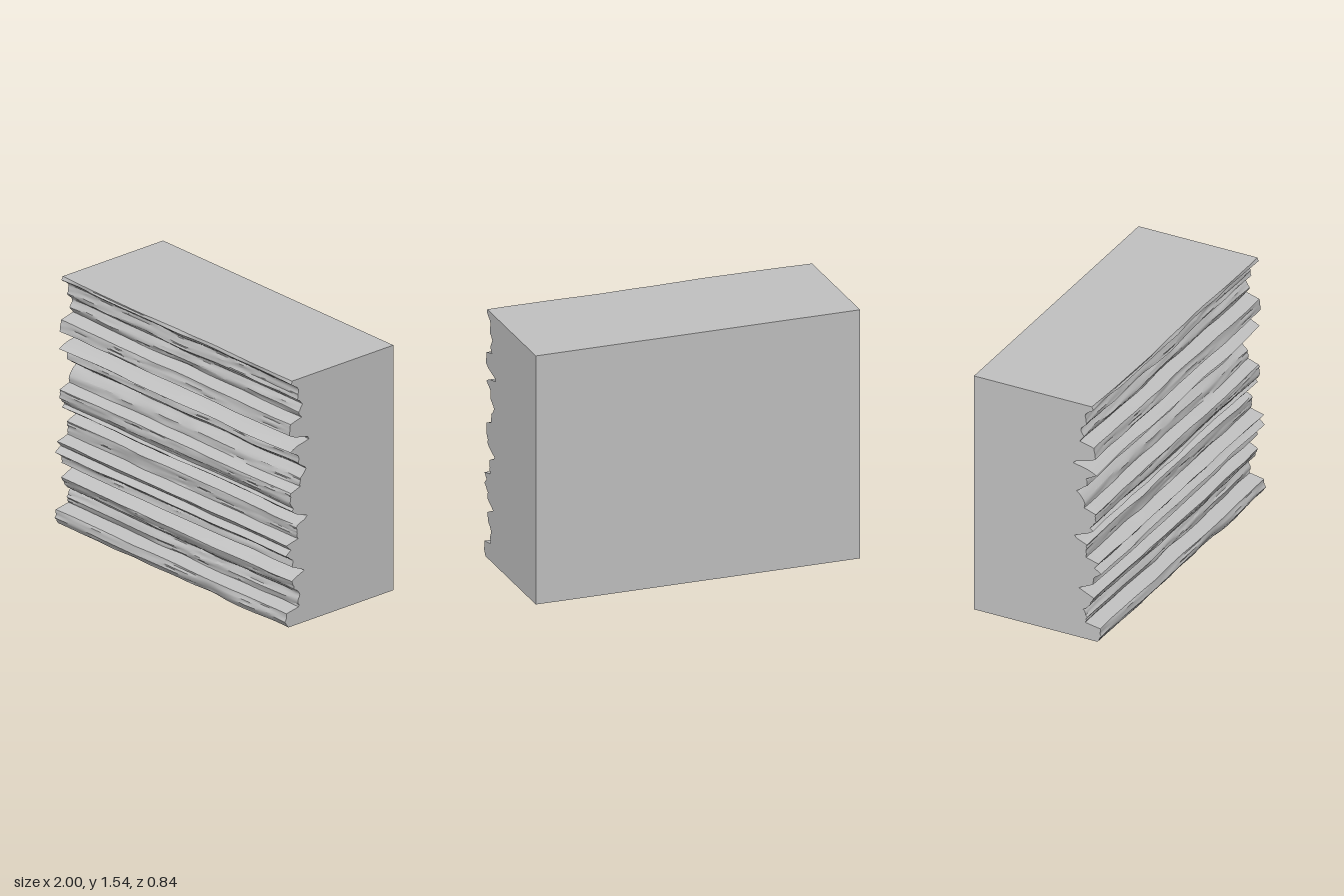
import * as THREE from 'three';
import { toCreasedNormals } from 'three/addons/utils/BufferGeometryUtils.js';

const BACK = -0.42;
const COLUMNS = 64;

// Layered cliff outline from bottom to top: [y, z]
const PROFILE = [
  [0, 0.395], [0.04, 0.42], [0.09, 0.41], [0.107, 0.315], [0.145, 0.325], [0.19, 0.305],
  [0.225, 0.345], [0.28, 0.37], [0.30, 0.33], [0.325, 0.27], [0.37, 0.365], [0.41, 0.36],
  [0.45, 0.41], [0.48, 0.37], [0.515, 0.40], [0.537, 0.315], [0.62, 0.32], [0.643, 0.265],
  [0.665, 0.24], [0.695, 0.325], [0.72, 0.36], [0.735, 0.345], [0.78, 0.375], [0.835, 0.375],
  [0.86, 0.305], [0.91, 0.30], [0.96, 0.255], [1.01, 0.32], [1.055, 0.315], [1.092, 0.38],
  [1.12, 0.325], [1.14, 0.23], [1.157, 0.245], [1.18, 0.34], [1.20, 0.38], [1.27, 0.37],
  [1.293, 0.285], [1.33, 0.305], [1.375, 0.285], [1.41, 0.325], [1.478, 0.315], [1.52, 0.365],
  [1.54, 0.36],
];

// Seeded lattice value in -1..1, and smooth noise between lattice points
function hash(i, j) {
  const s = Math.sin(i * 127.1 + j * 311.7 + 17.3) * 43758.5453;
  return (s - Math.floor(s)) * 2 - 1;
}
function noise(x, y) {
  const i = Math.floor(x), j = Math.floor(y);
  const u = THREE.MathUtils.smoothstep(x - i, 0, 1);
  const v = THREE.MathUtils.smoothstep(y - j, 0, 1);
  const a = THREE.MathUtils.lerp(hash(i, j), hash(i + 1, j), u);
  const b = THREE.MathUtils.lerp(hash(i, j + 1), hash(i + 1, j + 1), u);
  return THREE.MathUtils.lerp(a, b, v);
}

// Fine rows along the outline, steep ledges kept straight
function makeRows() {
  const rows = [];
  PROFILE.forEach(([y, z], k) => {
    rows.push([y, z]);
    if (k === PROFILE.length - 1) return;
    const [y2, z2] = PROFILE[k + 1];
    const steps = Math.max(1, Math.round((y2 - y) / 0.012));
    for (let s = 1; s < steps; s++) {
      const t = s / steps;
      rows.push([y + (y2 - y) * t, z + (z2 - z) * t]);
    }
  });
  return rows;
}

// Grid of rock face points: broad wander plus thin bedding streaks
function makeGrid() {
  return makeRows().map(([y, z], r) => {
    const line = [];
    for (let c = 0; c <= COLUMNS; c++) {
      const x = -1 + (2 * c) / COLUMNS;
      const wander = 0.009 * noise(x * 3.2 + 20, y * 7);
      const streak = 0.0045 * noise(x * 6 + 40, r * 1.0 + 100);
      line.push([x, y, z - 0.004 + wander + streak]);
    }
    return line;
  });
}

function quad(out, a, b, c, d) {
  out.push(...a, ...b, ...c, ...a, ...c, ...d);
}

function toGeometry(positions) {
  const geometry = new THREE.BufferGeometry();
  geometry.setAttribute('position', new THREE.Float32BufferAttribute(positions, 3));
  geometry.computeVertexNormals();
  return geometry;
}

export function createModel() {
  const model = new THREE.Group();
  model.name = 'cliffBlock';
  const stone = new THREE.MeshStandardMaterial({ color: 0xc0c0c0 });
  stone.name = 'grey stone';

  const grid = makeGrid();
  const last = grid.length - 1;
  const toBack = ([x, y]) => [x, y, BACK];

  // Weathered front
  const face = [];
  for (let r = 0; r < last; r++) {
    for (let c = 0; c < COLUMNS; c++) {
      quad(face, grid[r][c], grid[r][c + 1], grid[r + 1][c + 1], grid[r + 1][c]);
    }
  }
  const rockFace = new THREE.Mesh(toCreasedNormals(toGeometry(face), 0.6), stone);
  rockFace.name = 'rockFace';
  model.add(rockFace);

  // Flat cut sides, following the outline of the face
  const sides = [];
  for (let r = 0; r < last; r++) {
    const [l0, l1] = [grid[r][0], grid[r + 1][0]];
    const [r0, r1] = [grid[r][COLUMNS], grid[r + 1][COLUMNS]];
    quad(sides, toBack(l0), l0, l1, toBack(l1));
    quad(sides, r0, toBack(r0), toBack(r1), r1);
  }
  const cutSides = new THREE.Mesh(toGeometry(sides), stone);
  cutSides.name = 'cutSides';
  model.add(cutSides);

  // Flat top and underside
  const caps = [];
  for (let c = 0; c < COLUMNS; c++) {
    const [b0, b1] = [grid[0][c], grid[0][c + 1]];
    const [t0, t1] = [grid[last][c], grid[last][c + 1]];
    quad(caps, toBack(b0), toBack(b1), b1, b0);
    quad(caps, t0, t1, toBack(t1), toBack(t0));
  }
  const topAndBase = new THREE.Mesh(toGeometry(caps), stone);
  topAndBase.name = 'topAndBase';
  model.add(topAndBase);

  // Flat back wall
  const back = new THREE.Mesh(new THREE.PlaneGeometry(2, 1.54), stone);
  back.name = 'backWall';
  back.rotation.y = Math.PI;
  back.position.set(0, 0.77, BACK);
  model.add(back);

  return model;
}
